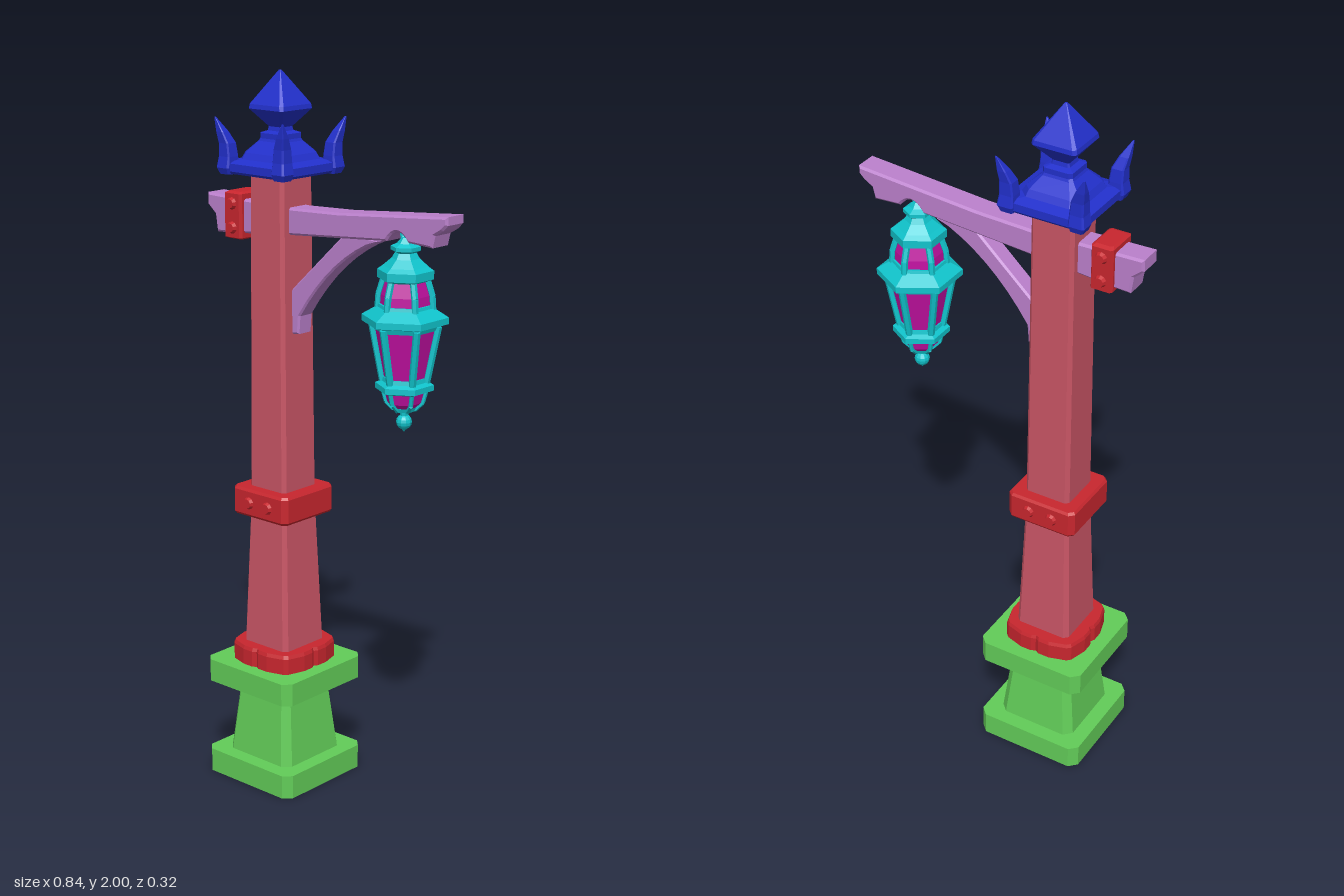
import * as THREE from 'three';

const paint = (color) => new THREE.MeshStandardMaterial({ color, flatShading: true });
const GREEN = paint(0x62cc58), ROSE = paint(0xc95565), RED = paint(0xc8262e), BLUE = paint(0x2230cc);
const PURPLE = paint(0xbb80cc), CYAN = paint(0x10c4cc), MAGENTA = paint(0xc010a0);
const POST_X = -0.175, LAMP_X = 0.26;

// Chamfered square section, listed from +z towards +x
function octagon(h, c) {
  return [[-h + c, h], [h - c, h], [h, h - c], [h, -h + c], [h - c, -h], [-h + c, -h], [-h, -h + c], [-h, h - c]];
}

// Skin between rings { y, pts } that share the same number of points
function loft(rings) {
  const pos = [];
  const at = (r, i) => { const p = r.pts[i % r.pts.length]; return [p[0], r.y, p[1]]; };
  const n = rings[0].pts.length;
  for (let k = 0; k < rings.length - 1; k++) {
    for (let i = 0; i < n; i++) {
      const a = at(rings[k], i), b = at(rings[k], i + 1), c = at(rings[k + 1], i + 1), d = at(rings[k + 1], i);
      pos.push(...a, ...b, ...c, ...a, ...c, ...d);
    }
  }
  const mid = (r) => [r.pts.reduce((s, p) => s + p[0], 0) / n, r.y, r.pts.reduce((s, p) => s + p[1], 0) / n];
  const lo = rings[0], hi = rings[rings.length - 1];
  for (let i = 0; i < n; i++) {
    pos.push(...mid(lo), ...at(lo, i + 1), ...at(lo, i));
    pos.push(...mid(hi), ...at(hi, i), ...at(hi, i + 1));
  }
  const g = new THREE.BufferGeometry();
  g.setAttribute('position', new THREE.Float32BufferAttribute(pos, 3));
  g.computeVertexNormals();
  return g;
}

// Rows of [y, half width, chamfer, diagonal offset]
const squareLoft = (rows) => loft(rows.map(([y, h, c, o = 0]) =>
  ({ y, pts: octagon(h, c).map(([x, z]) => [x + o, z + o]) })));

// Six-sided turned form from rows of [y, half width across flats]
const hexLoft = (rows) => loft(rows.map(([y, a]) => ({
  y,
  pts: Array.from({ length: 6 }, (_, i) => {
    const r = a / Math.cos(Math.PI / 6), t = i * Math.PI / 3;
    return [r * Math.sin(t), r * Math.cos(t)];
  }),
})));

function add(parent, name, geometry, material, x = 0, y = 0, z = 0) {
  const m = new THREE.Mesh(geometry, material);
  m.name = name;
  m.position.set(x, y, z);
  parent.add(m);
  return m;
}

// Flat outline extruded along z with bevelled edges
function plank(shape, half, bevel) {
  const g = new THREE.ExtrudeGeometry(shape, {
    depth: 2 * (half - bevel), bevelEnabled: true, bevelSize: bevel, bevelThickness: bevel,
    bevelOffset: -bevel, bevelSegments: 1, curveSegments: 8,
  });
  return g.translate(0, 0, bevel - half);
}

function rivet(parent, x, y, z, r) {
  const g = new THREE.CylinderGeometry(r * 0.7, r, 0.012, 10).rotateX(z > 0 ? Math.PI / 2 : -Math.PI / 2);
  add(parent, 'rivet', g, RED, x, y, z);
}

// Slanted glazing bars along the six corners
function cornerBars(parent, y0, a0, y1, a1, r) {
  const k = 1 / Math.cos(Math.PI / 6);
  for (let i = 0; i < 6; i++) {
    const t = i * Math.PI / 3;
    const p = new THREE.Vector3(a0 * k * Math.sin(t), y0, a0 * k * Math.cos(t));
    const q = new THREE.Vector3(a1 * k * Math.sin(t), y1, a1 * k * Math.cos(t));
    const d = q.clone().sub(p);
    const bar = add(parent, 'lanternBar', new THREE.CylinderGeometry(r, r, d.length(), 6), CYAN);
    bar.position.copy(p).add(q).multiplyScalar(0.5);
    bar.quaternion.setFromUnitVectors(new THREE.Vector3(0, 1, 0), d.normalize());
  }
}

function buildPost() {
  const g = new THREE.Group();
  g.name = 'post';
  g.position.x = POST_X;

  // Pedestal
  add(g, 'pedestalFoot', squareLoft([[0, 0.16, 0.022], [0.068, 0.16, 0.022]]), GREEN);
  add(g, 'pedestalBody', squareLoft([[0.06, 0.118, 0.022], [0.29, 0.093, 0.018]]), GREEN);
  add(g, 'pedestalTop', squareLoft([[0.28, 0.16, 0.022], [0.345, 0.16, 0.022]]), GREEN);

  // Foot collar with a small notch in the middle of each face
  const side = [[-0.095, 0.105], [-0.045, 0.12], [-0.012, 0.12], [0, 0.113], [0.012, 0.12], [0.045, 0.12], [0.095, 0.105]];
  const plan = [];
  for (let i = 0; i < 4; i++) {
    const c = Math.round(Math.cos(i * Math.PI / 2)), s = Math.round(Math.sin(i * Math.PI / 2));
    side.forEach(([x, z]) => plan.push([x * c + z * s, -x * s + z * c]));
  }
  const top = plan.map(([x, z]) => [x * 0.97, z * 0.97]);
  add(g, 'footCollar', loft([{ y: 0.34, pts: plan }, { y: 0.39, pts: plan }, { y: 0.4, pts: top }]), RED);

  // Shaft and riveted middle band
  add(g, 'shaft', squareLoft([[0.38, 0.083, 0.012], [0.82, 0.067, 0.01], [1.74, 0.061, 0.009]]), ROSE);
  add(g, 'middleBand', squareLoft([[0.78, 0.097, 0.012], [0.787, 0.102, 0.014], [0.853, 0.102, 0.014], [0.86, 0.097, 0.012]]), RED);
  for (const z of [-0.105, 0.105]) for (const x of [-0.035, 0.035]) rivet(g, x, 0.82, z, 0.019);

  // Roof cap and diamond finial
  add(g, 'cap', squareLoft([
    [1.73, 0.108, 0.012], [1.737, 0.114, 0.014], [1.758, 0.114, 0.014], [1.768, 0.085, 0.024],
    [1.785, 0.075, 0.018], [1.815, 0.045, 0.008], [1.822, 0.042, 0.008], [1.836, 0.042, 0.008],
    [1.842, 0.026, 0.004], [1.853, 0.024, 0.004], [1.9, 0.063, 0.008], [1.912, 0.061, 0.008], [2, 0.003, 0.001],
  ]), BLUE);

  // Curved corner horns
  const horn = squareLoft([
    [1.728, 0.018, 0.004, 0.098], [1.745, 0.023, 0.005, 0.1], [1.775, 0.02, 0.004, 0.098],
    [1.81, 0.018, 0.004, 0.1], [1.84, 0.013, 0.003, 0.109], [1.878, 0.002, 0.0005, 0.122],
  ]);
  for (let i = 0; i < 4; i++) add(g, 'cornerHorn', horn, BLUE).rotation.y = i * Math.PI / 2;
  return g;
}

function buildArm() {
  const g = new THREE.Group();
  g.name = 'arm';

  // Beam with shaped ends and an arched notch over the lantern
  const s = new THREE.Shape();
  s.moveTo(-0.42, 1.655);
  [[-0.42, 1.622], [-0.392, 1.598], [-0.385, 1.55], [-0.34, 1.552], [-0.11, 1.573], [0.222, 1.598]].forEach((p) => s.lineTo(...p));
  s.quadraticCurveTo(0.258, 1.652, 0.294, 1.602);
  [[0.372, 1.598], [0.38, 1.63], [0.405, 1.645], [0.42, 1.66], [0.42, 1.682], [0.06, 1.652], [-0.1, 1.646]].forEach((p) => s.lineTo(...p));
  s.closePath();
  add(g, 'beam', plank(s, 0.036, 0.006), PURPLE);

  // Curved brace
  const b = new THREE.Shape();
  b.moveTo(-0.125, 1.3);
  b.lineTo(-0.09, 1.305);
  b.lineTo(-0.086, 1.355);
  b.quadraticCurveTo(0.03, 1.53, 0.19, 1.592);
  b.lineTo(0.075, 1.6);
  b.quadraticCurveTo(0, 1.53, -0.125, 1.415);
  b.closePath();
  add(g, 'brace', plank(b, 0.027, 0.005), PURPLE);

  // Riveted strap on the short end
  const strap = squareLoft([[-0.065, 0.024, 0.004], [-0.06, 0.031, 0.005], [0.06, 0.031, 0.005], [0.065, 0.024, 0.004]]);
  add(g, 'strap', strap, RED, -0.31, 1.605).scale.z = 1.65;
  for (const z of [-0.055, 0.055]) for (const y of [1.572, 1.638]) rivet(g, -0.31, y, z, 0.018);
  return g;
}

function buildLantern() {
  const g = new THREE.Group();
  g.name = 'lantern';
  g.position.x = LAMP_X;

  // Hanger and roof
  add(g, 'hangingRing', new THREE.TorusGeometry(0.014, 0.005, 6, 12), CYAN, 0, 1.615, 0);
  add(g, 'roof', hexLoft([
    [1.497, 0.052], [1.503, 0.064], [1.525, 0.064], [1.535, 0.052], [1.555, 0.032],
    [1.57, 0.024], [1.576, 0.034], [1.586, 0.034], [1.594, 0.02], [1.608, 0.01],
  ]), CYAN);

  // Upper glass
  add(g, 'upperGlass', hexLoft([[1.41, 0.06], [1.46, 0.057], [1.505, 0.045]]), MAGENTA);
  cornerBars(g, 1.41, 0.063, 1.46, 0.06, 0.009);
  cornerBars(g, 1.46, 0.06, 1.505, 0.048, 0.009);

  // Wide brim
  add(g, 'brim', hexLoft([[1.37, 0.074], [1.382, 0.078], [1.388, 0.099], [1.405, 0.099], [1.428, 0.066], [1.436, 0.064]]), CYAN);

  // Main glass with frame
  add(g, 'mainGlass', hexLoft([[1.22, 0.045], [1.38, 0.071]]), MAGENTA);
  cornerBars(g, 1.22, 0.048, 1.38, 0.075, 0.01);
  add(g, 'lowerRail', hexLoft([[1.205, 0.055], [1.21, 0.067], [1.225, 0.067], [1.232, 0.054], [1.243, 0.052]]), CYAN);

  // Lower glass bowl
  add(g, 'lowerGlass', hexLoft([[1.155, 0.022], [1.175, 0.04], [1.21, 0.048]]), MAGENTA);
  cornerBars(g, 1.155, 0.024, 1.175, 0.042, 0.006);
  cornerBars(g, 1.175, 0.042, 1.21, 0.05, 0.006);

  // Drop finial
  add(g, 'finialStem', hexLoft([[1.13, 0.009], [1.148, 0.01], [1.152, 0.026], [1.163, 0.03]]), CYAN);
  add(g, 'finialBall', new THREE.SphereGeometry(0.021, 10, 8), CYAN, 0, 1.122, 0);
  add(g, 'finialTip', new THREE.ConeGeometry(0.009, 0.012, 8).rotateX(Math.PI), CYAN, 0, 1.1, 0);
  return g;
}

export function createModel() {
  const model = new THREE.Group();
  model.name = 'streetLamp';
  model.add(buildPost(), buildArm(), buildLantern());
  return model;
}
